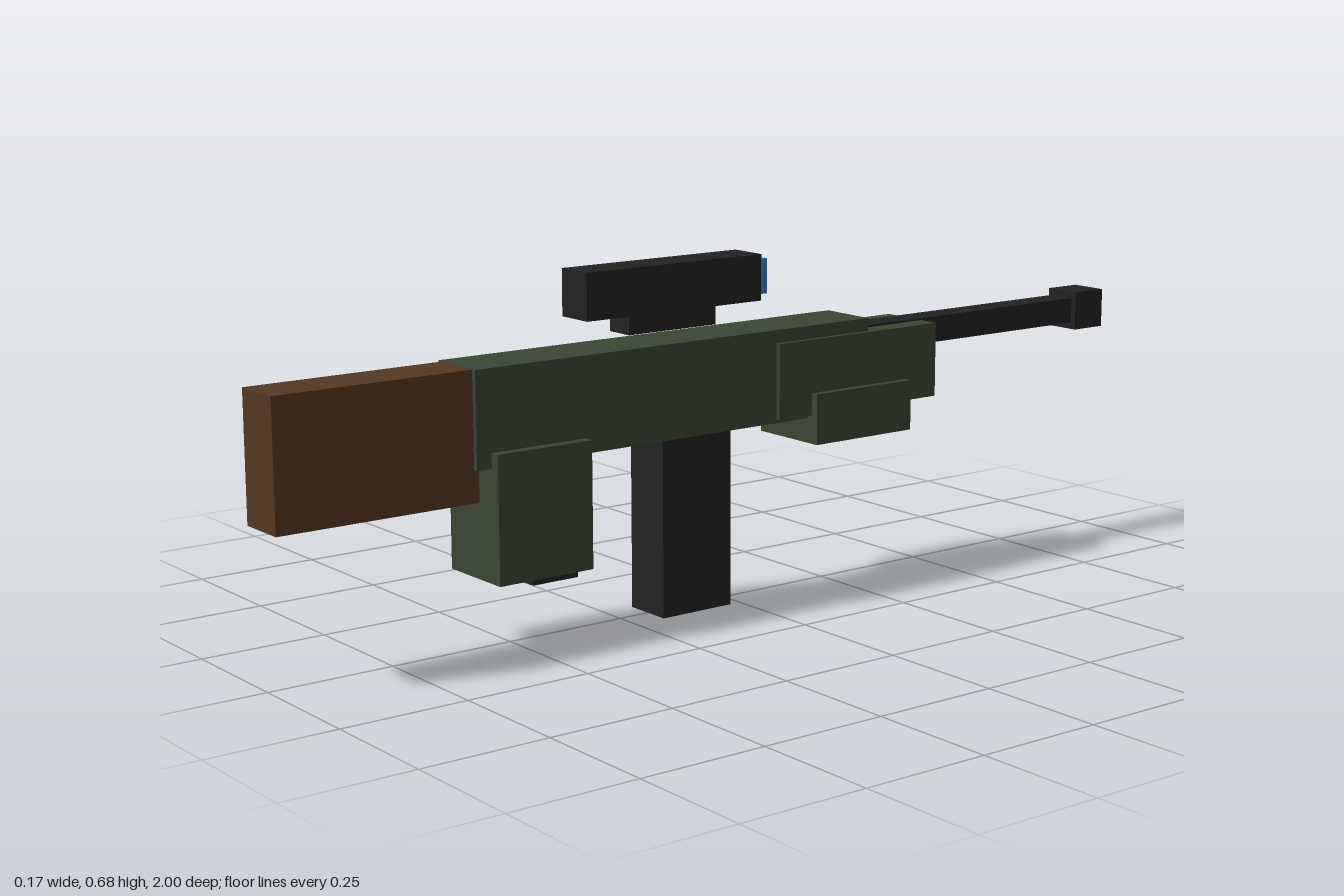
import * as THREE from 'three';

const material = (name, color) => {
  const m = new THREE.MeshStandardMaterial({ color });
  m.name = name;
  return m;
};

export function createModel() {
  const green = material('olive green', 0x3b4632);
  const black = material('black', 0x222222);
  const brown = material('wood brown', 0x553822);
  const blue = material('lens blue', 0x3a7fc4);

  const group = new THREE.Group();
  group.name = 'blockRifle';

  // Block centred on x = 0, given its width and its y and z ranges
  const block = (name, mat, width, y0, y1, z0, z1) => {
    const mesh = new THREE.Mesh(new THREE.BoxGeometry(width, y1 - y0, z1 - z0), mat);
    mesh.name = name;
    mesh.position.set(0, (y0 + y1) / 2, (z0 + z1) / 2);
    group.add(mesh);
  };

  // Body and stock
  block('stock', brown, 0.102, 0.287, 0.53, 0.593, 1);
  block('receiver', green, 0.122, 0.348, 0.531, -0.315, 0.603);
  block('handguard', green, 0.142, 0.355, 0.505, -0.488, -0.082);
  block('foregrip', green, 0.174, 0.298, 0.399, -0.408, -0.163);

  // Rear housing with its foot, and the magazine
  block('rearHousing', green, 0.163, 0.134, 0.377, 0.368, 0.572);
  block('housingFoot', black, 0.092, 0.113, 0.18, 0.378, 0.478);
  block('magazine', black, 0.102, 0, 0.37, 0.023, 0.185);

  // Barrel and muzzle
  block('barrel', black, 0.056, 0.456, 0.509, -0.94, -0.25);
  block('muzzle', black, 0.08, 0.442, 0.522, -1, -0.92);

  // Scope, floating above the receiver
  block('scopeMount', black, 0.06, 0.551, 0.6, 0.043, 0.246);
  block('scopeBody', black, 0.08, 0.588, 0.678, -0.06, 0.347);
  block('scopeLens', blue, 0.062, 0.599, 0.667, -0.082, -0.04);

  return group;
}
